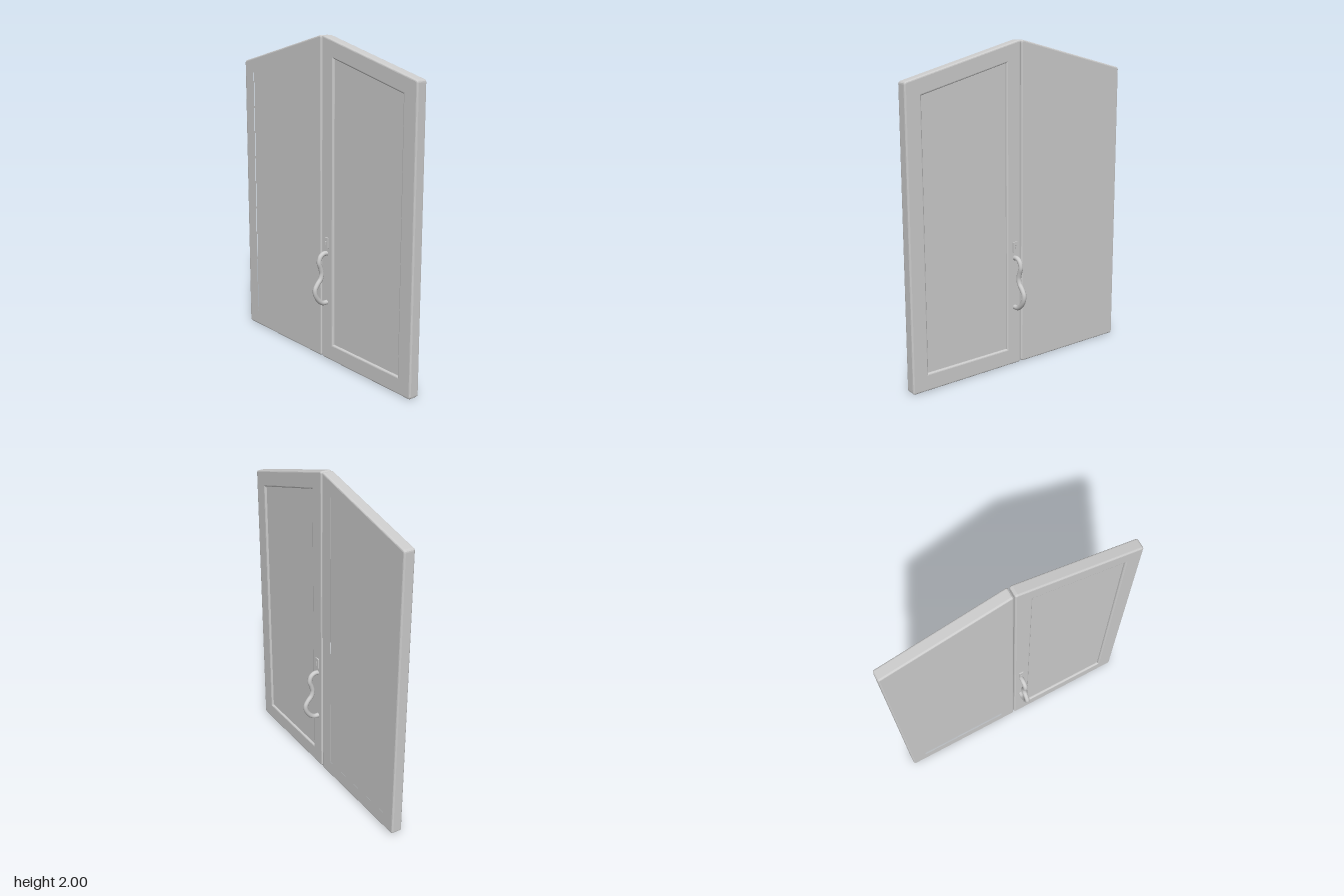
import * as THREE from 'three';

const BEVEL = 0.01;

// Closed outline with slightly rounded corners
function roundedOutline(points, r, Type = THREE.Shape) {
  const outline = new Type();
  const pts = points.map(([x, y]) => new THREE.Vector2(x, y));
  pts.forEach((p, i) => {
    const prev = pts[(i + pts.length - 1) % pts.length];
    const next = pts[(i + 1) % pts.length];
    const a = p.clone().add(prev.clone().sub(p).setLength(r));
    const b = p.clone().add(next.clone().sub(p).setLength(r));
    if (i === 0) outline.moveTo(a.x, a.y);
    else outline.lineTo(a.x, a.y);
    outline.quadraticCurveTo(p.x, p.y, b.x, b.y);
  });
  outline.closePath();
  return outline;
}

// Four-sided outline with a sloping top; side is +1 or -1
function slopedPoints(side, inner, outer, bottom, topInner, topOuter) {
  return [[inner, bottom], [outer, bottom], [outer, topOuter], [inner, topInner]]
    .map(([x, y]) => [x * side, y]);
}

function extrudeCentred(shape, depth, bevel) {
  const geometry = new THREE.ExtrudeGeometry(shape, {
    depth: depth - 2 * bevel,
    bevelEnabled: bevel > 0,
    bevelSize: bevel,
    bevelThickness: bevel,
    bevelSegments: 3,
    curveSegments: 3,
  });
  return geometry.translate(0, 0, -depth / 2 + bevel);
}

export function createModel() {
  const model = new THREE.Group();
  const grey = new THREE.MeshStandardMaterial({ color: 0xcccccc });
  grey.name = 'grey';

  const add = (parent, geometry, name) => {
    const mesh = new THREE.Mesh(geometry, grey);
    mesh.name = name;
    parent.add(mesh);
    return mesh;
  };

  // Two door leaves: bevelled frame around a recessed panel
  for (const side of [1, -1]) {
    const door = new THREE.Group();
    door.name = side > 0 ? 'leftDoor' : 'rightDoor';
    const frame = roundedOutline(
      slopedPoints(side, 0.003 + BEVEL, 0.79 - BEVEL, BEVEL, 1.988, 1.793), 0.006);
    const opening = new THREE.Path(
      slopedPoints(side, 0.098, 0.695, 0.098, 1.88, 1.73).map(([x, y]) => new THREE.Vector2(x, y)));
    frame.holes.push(opening);
    add(door, extrudeCentred(frame, 0.07, BEVEL), 'frame');

    const panel = new THREE.Shape(
      slopedPoints(side, 0.08, 0.71, 0.08, 1.9, 1.74).map(([x, y]) => new THREE.Vector2(x, y)));
    add(door, extrudeCentred(panel, 0.042, 0), 'panel');
    model.add(door);
  }

  // Wavy pull handle and lock plate on both faces of the left door
  const handlePoints = [
    [0.69, 0.025], [0.692, 0.06], [0.675, 0.085], [0.64, 0.094], [0.605, 0.083],
    [0.57, 0.075], [0.535, 0.083], [0.505, 0.108], [0.475, 0.125], [0.44, 0.122],
    [0.4, 0.098], [0.378, 0.068], [0.375, 0.025],
  ];
  for (const face of [1, -1]) {
    const hardware = new THREE.Group();
    hardware.name = face > 0 ? 'frontHardware' : 'backHardware';
    const path = new THREE.CatmullRomCurve3(
      handlePoints.map(([y, z]) => new THREE.Vector3(0.05, y, z * face)));
    add(hardware, new THREE.TubeGeometry(path, 60, 0.015, 14), 'handle');

    // Plate with a keyhole cut through it
    const plate = roundedOutline([[-0.016, -0.034], [0.016, -0.034], [0.016, 0.034], [-0.016, 0.034]], 0.004);
    const keyhole = new THREE.Path();
    keyhole.moveTo(-0.003, -0.014);
    keyhole.lineTo(0.003, -0.014);
    keyhole.lineTo(0.003, 0.004);
    keyhole.absarc(0, 0.009, 0.006, -Math.PI / 3, Math.PI * 4 / 3, false);
    keyhole.closePath();
    plate.holes.push(keyhole);
    add(hardware, extrudeCentred(plate, 0.012, 0), 'lockPlate').position.set(0.05, 0.759, 0.037 * face);
    model.add(hardware);
  }

  return model;
}
